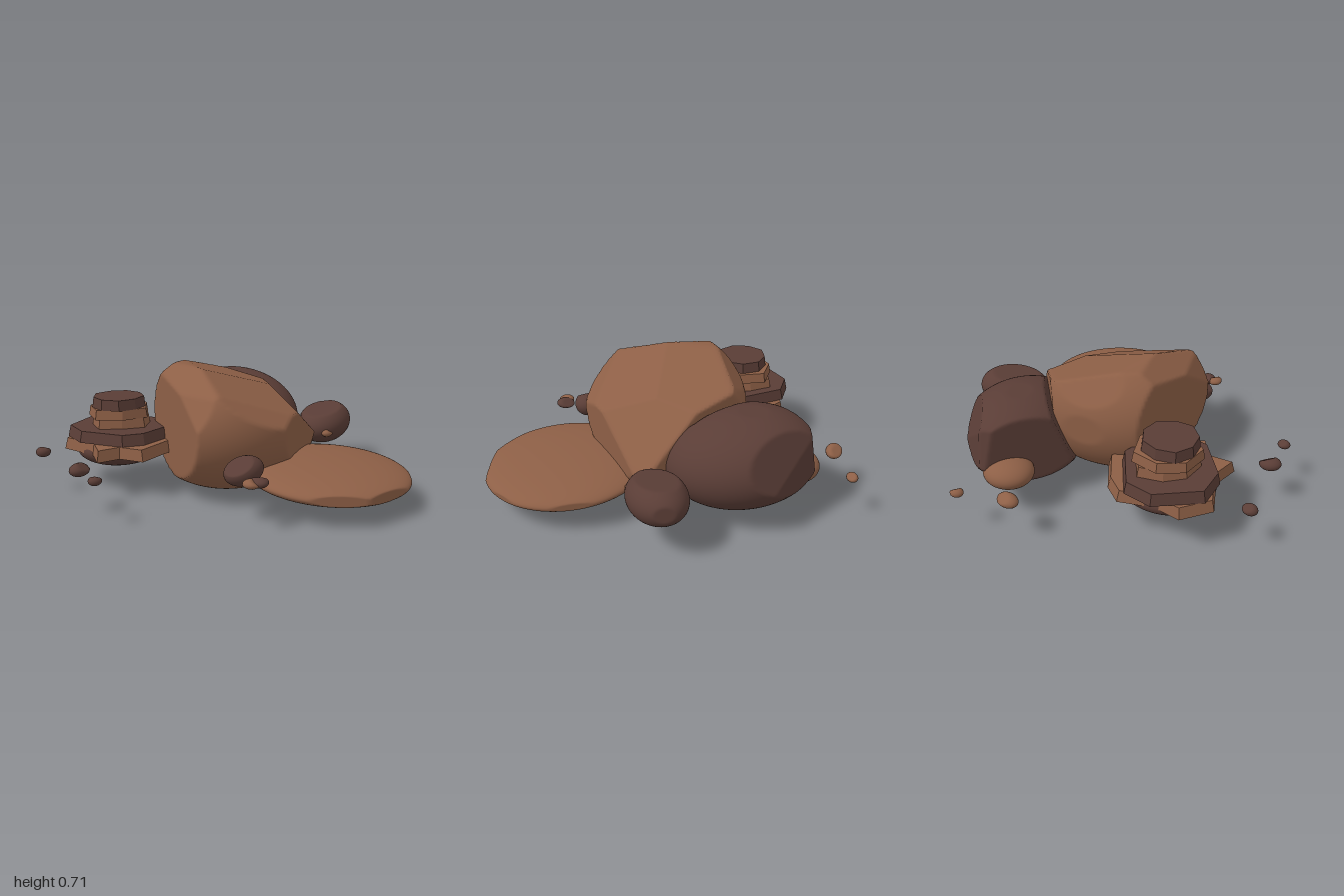
import * as THREE from 'three';
import { mergeVertices } from 'three/addons/utils/BufferGeometryUtils.js';

const brown = new THREE.MeshStandardMaterial({ name: 'warm brown stone', color: 0x8d5f46 });
const dark = new THREE.MeshStandardMaterial({ name: 'dark brown stone', color: 0x5a3d36 });

// Ellipsoid boulder chipped by flat cuts; each cut is [normal, point on the cut].
function rock(name, material, centre, radii, turn = [0, 0, 0], cuts = [], detail = 14) {
  let geo = new THREE.IcosahedronGeometry(1, detail);
  geo.deleteAttribute('uv');
  geo.deleteAttribute('normal');
  geo = mergeVertices(geo);
  geo.scale(...radii);
  const m = new THREE.Matrix4().makeRotationFromEuler(new THREE.Euler(...turn));
  geo.applyMatrix4(m);
  const c = new THREE.Vector3(...centre);
  const planes = cuts.map(([n, p]) => {
    const normal = new THREE.Vector3(...n).normalize();
    return { normal, d: normal.dot(new THREE.Vector3(...p).sub(c)) };
  });
  const pos = geo.attributes.position;
  const v = new THREE.Vector3();
  for (let i = 0; i < pos.count; i++) {
    v.fromBufferAttribute(pos, i);
    let t = 1;
    for (const { normal, d } of planes) {
      const reach = normal.dot(v);
      if (reach > d) t = Math.min(t, d / reach);
    }
    v.multiplyScalar(t);
    pos.setXYZ(i, v.x, v.y, v.z);
  }
  geo.computeVertexNormals();
  const mesh = new THREE.Mesh(geo, material);
  mesh.name = name;
  mesh.position.copy(c);
  return mesh;
}

// Flat slab with a polygon outline of [x, z] corners, slightly narrower at the top.
function layer(name, material, outline, y, height, taper = 0.95) {
  const shape = new THREE.Shape(outline.map(([x, z]) => new THREE.Vector2(x + 0.45, -z - 0.43)));
  const geo = new THREE.ExtrudeGeometry(shape, { depth: height, bevelEnabled: false });
  geo.rotateX(-Math.PI / 2);
  const pos = geo.attributes.position;
  for (let i = 0; i < pos.count; i++) {
    if (pos.getY(i) > height / 2) pos.setXYZ(i, pos.getX(i) * taper, height, pos.getZ(i) * taper);
  }
  geo.computeVertexNormals();
  const mesh = new THREE.Mesh(geo, material);
  mesh.name = name;
  mesh.position.set(-0.45, y, -0.43);
  return mesh;
}

// Ring of corners with a slight alternating wobble
function ring(x, z, r, sides, turn, wobble) {
  return Array.from({ length: sides }, (_, i) => {
    const a = turn + (i / sides) * Math.PI * 2;
    const s = r * (1 + wobble * Math.sin(i * 2.4));
    return [x + Math.cos(a) * s, z + Math.sin(a) * s];
  });
}

export function createModel() {
  const group = new THREE.Group();
  group.name = 'rockCluster';

  // Main boulder: steep sides, then the sloping top faces
  group.add(rock('mainBoulder', brown, [0.05, 0.415, 0.02], [0.58, 0.415, 0.46], [0, 0, 0], [
    [[-0.97, 0, -0.25], [-0.405, 0.4, 0.25]],
    [[0.83, 0, -0.555], [0.565, 0.3, 0.08]],
    [[0.5, 0, 0.86], [0.53, 0.3, 0.19]],
    [[0, 0, -1], [0, 0, -0.43]],
    [[0.28, 1, 0.1], [-0.1, 0.71, -0.2]],
    [[0.25, 1, 0.4], [-0.1, 0.69, 0.02]],
    [[0.63, 0.68, 0.35], [0.37, 0.395, 0.25]],
    [[0.1, 0.75, 0.65], [-0.1, 0.55, 0.36]],
    [[-0.55, 0.83, 0.05], [-0.3, 0.64, -0.1]],
    [[-0.85, 0.5, 0.1], [-0.385, 0.53, 0.1]],
    [[0, 0.65, -0.76], [0, 0.59, -0.38]],
    [[0, 1, 0], [0, 0.715, 0]],
  ], 32));

  // Dark boulder behind, leaning against the main one
  group.add(rock('backBoulder', dark, [0.42, 0.32, -0.39], [0.345, 0.262, 0.42], [0.13, 0, 0], [
    [[-0.68, 0, -0.73], [0.42, 0.4, -0.74]],
    [[0.7, 0.1, -0.7], [0.58, 0.4, -0.67]],
    [[0, 0.15, -1], [0.4, 0.4, -0.755]],
    [[0.75, 0.35, -0.5], [0.68, 0.42, -0.5]],
    [[-0.8, 0.35, 0.5], [0.4, 0.5, -0.17]],
    [[0, 1, 0], [0, 0.58, 0]],
  ], 28));

  // Thin slab in front
  group.add(rock('frontSlab', brown, [0.27, 0.16, 0.57], [0.448, 0.085, 0.455], [0.04, 0, 0], [
    [[0.98, 0, -0.18], [0.69, 0.16, 0.45]],
    [[0, 0, 1], [0, 0, 0.995]],
    [[-0.6, 0, 0.8], [-0.1, 0.16, 0.82]],
    [[0.75, 0, 0.66], [0.57, 0.16, 0.9]],
  ], 20));

  // Medium stones around the boulders
  group.add(rock('leftStone', dark, [0.76, 0.275, 0.05], [0.21, 0.125, 0.155], [0, 0.4, 0.1], [
    [[-0.16, 0.987, 0], [0.78, 0.367, 0.05]],
    [[0.1, -1, 0], [0.77, 0.17, 0.05]],
    [[-0.75, 0, -0.65], [0.63, 0.28, -0.03]],
    [[1, 0.1, -0.1], [0.945, 0.32, 0]],
  ]));
  group.add(rock('backStone', brown, [0.37, 0.23, -0.69], [0.14, 0.08, 0.13]));
  group.add(rock('frontStone', dark, [-0.275, 0.265, 0.5], [0.11, 0.075, 0.083], [0, -0.2, 0.2], [
    [[-0.5, 0.8, 0.2], [-0.32, 0.3, 0.5]],
  ]));

  // Layered rock with a rounded underside
  const stack = new THREE.Group();
  stack.name = 'layeredRock';
  stack.add(rock('layeredRockBase', dark, [-0.44, 0.22, -0.44], [0.26, 0.105, 0.23]));
  stack.add(layer('bottomLayer', brown, [[-0.74, -0.57], [-0.6, -0.7], [-0.45, -0.66], [-0.26, -0.69],
    [-0.17, -0.6], [-0.09, -0.41], [-0.2, -0.17], [-0.53, -0.06], [-0.6, -0.19], [-0.735, -0.2], [-0.68, -0.35]], 0.22, 0.065));
  stack.add(layer('lowerLayer', dark, [[-0.7, -0.6], [-0.46, -0.735], [-0.3, -0.69], [-0.18, -0.43],
    [-0.28, -0.2], [-0.46, -0.15], [-0.58, -0.19], [-0.72, -0.42]], 0.285, 0.065));
  stack.add(layer('middleLayer', brown, ring(-0.43, -0.45, 0.17, 8, 0.5, 0.12), 0.35, 0.055));
  stack.add(layer('upperLayer', brown, ring(-0.44, -0.45, 0.18, 7, 0.2, 0.08), 0.405, 0.055));
  stack.add(layer('topLayer', dark, ring(-0.45, -0.44, 0.155, 9, 0, 0.03), 0.46, 0.06));
  group.add(stack);

  // Scattered pebbles: material, centre, radii
  const pebbles = [
    [brown, [0.24, 0.24, -0.92], [0.065, 0.035, 0.046]],
    [brown, [0.51, 0.24, -0.97], [0.036, 0.025, 0.03]],
    [dark, [-0.905, 0.245, -0.51], [0.042, 0.03, 0.035]],
    [dark, [-0.9, 0.245, -0.09], [0.06, 0.036, 0.048]],
    [dark, [-0.925, 0.245, 0.12], [0.036, 0.025, 0.03]],
    [brown, [-0.35, 0.25, 0.65], [0.045, 0.025, 0.045]],
    [dark, [-0.3, 0.25, 0.65], [0.048, 0.028, 0.055]],
    [brown, [0.645, 0.245, 0.19], [0.04, 0.025, 0.032]],
  ];
  pebbles.forEach(([mat, c, r], i) => {
    const chip = [[0.4, 0.8, i % 2 ? 0.4 : -0.4], [c[0], c[1] + r[1] * 0.85, c[2]]];
    group.add(rock(`pebble${i + 1}`, mat, c, r, [0, i % 2 ? 0.25 : -0.25, 0], [chip], 4));
  });

  return group;
}
